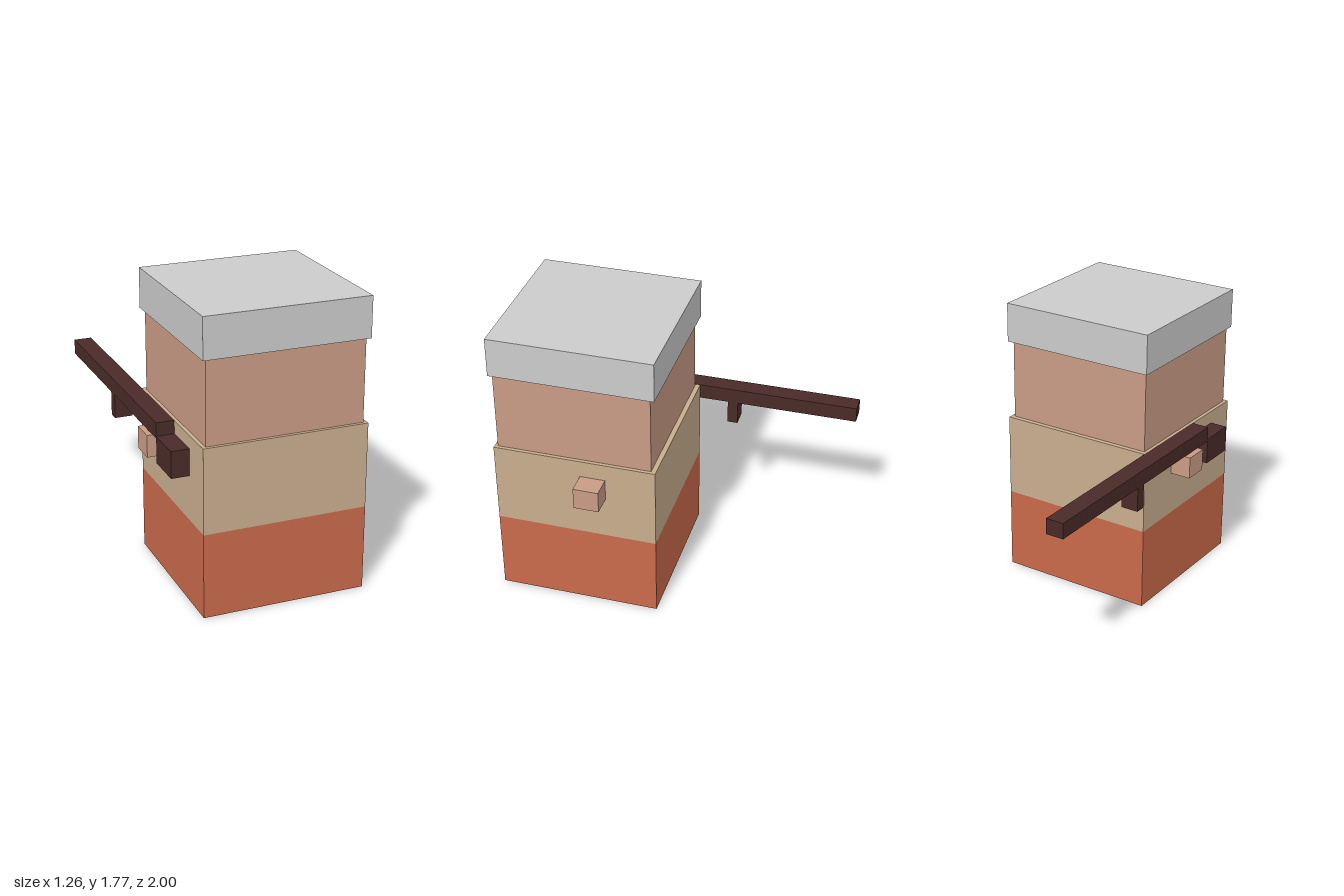
import * as THREE from 'three';

const COLORS = {
  trousers: 0xc96a4b,
  shirt: 0xc9ae8e,
  skin: 0xca9c86,
  helmet: 0xc4c8c6,
  rifle: 0x4a2b28,
};

export function createModel() {
  const model = new THREE.Group();
  model.name = 'blockSoldier';

  const materials = {};
  for (const [key, color] of Object.entries(COLORS)) {
    materials[key] = new THREE.MeshStandardMaterial({ color });
  }

  // Box spanning the given [min, max] ranges
  function block(name, material, [x0, x1], [y0, y1], [z0, z1], parent = model) {
    const mesh = new THREE.Mesh(
      new THREE.BoxGeometry(x1 - x0, y1 - y0, z1 - z0),
      materials[material]
    );
    mesh.position.set((x0 + x1) / 2, (y0 + y1) / 2, (z0 + z1) / 2);
    mesh.name = name;
    parent.add(mesh);
    return mesh;
  }

  // Stacked body
  block('trousers', 'trousers', [-0.497, 0.497], [0, 0.515], [0, 1]);
  block('shirt', 'shirt', [-0.497, 0.497], [0.515, 1.03], [0, 1]);
  block('head', 'skin', [-0.475, 0.475], [1.03, 1.53], [0.03, 0.98]);
  block('helmet', 'helmet', [-0.497, 0.497], [1.53, 1.775], [0, 1]);

  // Hands on both sides
  block('leftHand', 'skin', [0.497, 0.628], [0.787, 0.923], [0.308, 0.463]);
  block('rightHand', 'skin', [-0.628, -0.497], [0.787, 0.923], [0.308, 0.463]);

  // Rifle along the right side, muzzle toward the back
  const rifle = new THREE.Group();
  rifle.name = 'rifle';
  model.add(rifle);
  const width = [-0.606, -0.495];
  block('barrel', 'rifle', width, [0.937, 1.032], [-1, 0.557], rifle);
  block('magazine', 'rifle', width, [0.787, 0.937], [-0.247, -0.182], rifle);
  block('stock', 'rifle', width, [0.787, 0.95], [0.557, 0.792], rifle);

  return model;
}
